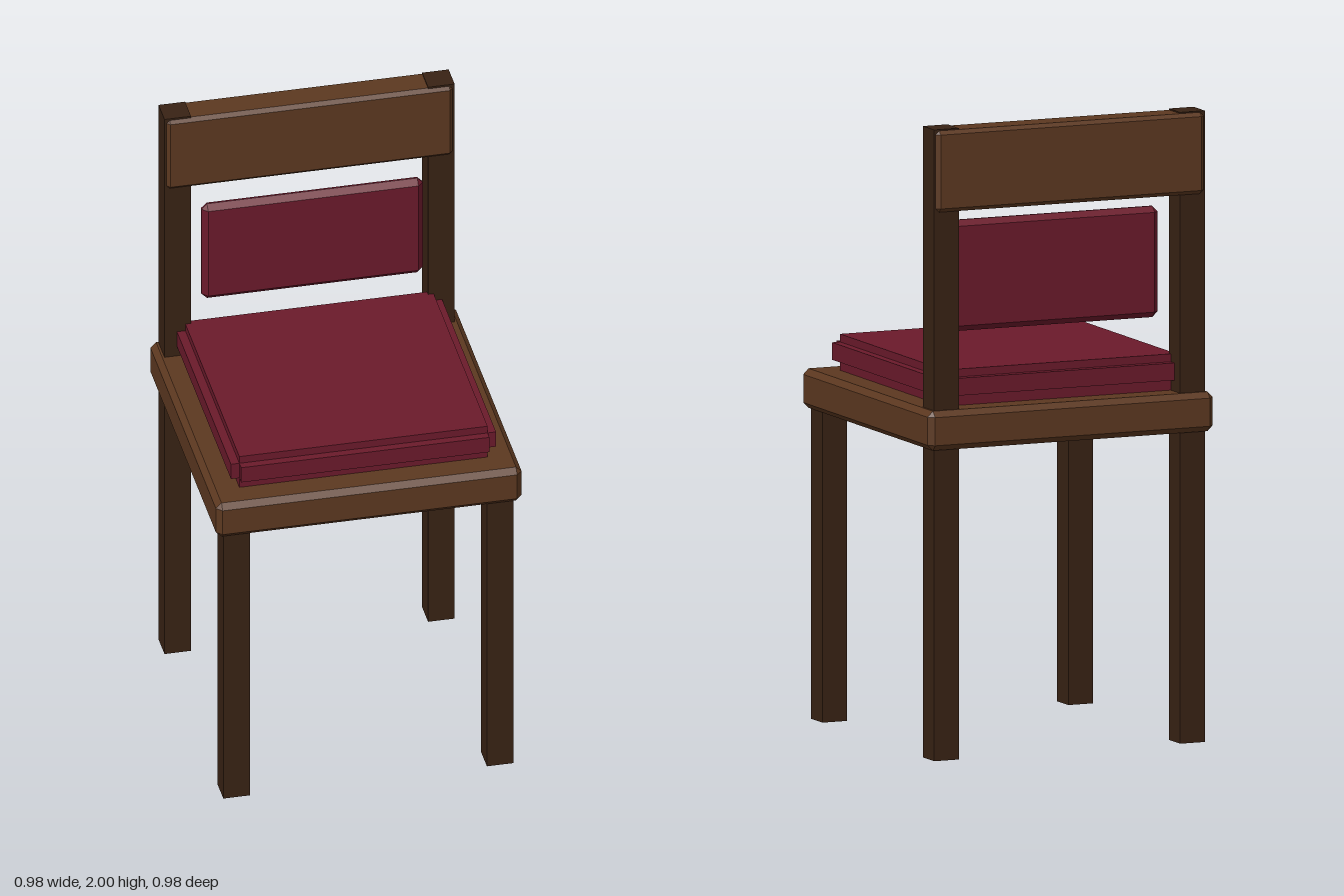
import * as THREE from 'three';
import { ConvexGeometry } from 'three/addons/geometries/ConvexGeometry.js';

const paint = (color) => new THREE.MeshStandardMaterial({ color, flatShading: true });
const wood = paint(0x5c3820);
const darkWood = paint(0x382214);
const fabric = paint(0x6b1a2b);

// Box with every edge cut at 45 degrees by c
function chamferBox(w, h, d, c) {
  const points = [];
  for (const sx of [-1, 1]) for (const sy of [-1, 1]) for (const sz of [-1, 1]) {
    const x = w / 2, y = h / 2, z = d / 2;
    points.push(
      new THREE.Vector3(sx * x, sy * (y - c), sz * (z - c)),
      new THREE.Vector3(sx * (x - c), sy * y, sz * (z - c)),
      new THREE.Vector3(sx * (x - c), sy * (y - c), sz * z),
    );
  }
  return new ConvexGeometry(points);
}

// Adds a box between two corners, chamfered when c is given
function addBox(parent, name, material, [x0, y0, z0], [x1, y1, z1], c = 0) {
  const size = [x1 - x0, y1 - y0, z1 - z0];
  const geometry = c ? chamferBox(...size, c) : new THREE.BoxGeometry(...size);
  const mesh = new THREE.Mesh(geometry, material);
  mesh.name = name;
  mesh.position.set((x0 + x1) / 2, (y0 + y1) / 2, (z0 + z1) / 2);
  parent.add(mesh);
}

export function createModel() {
  const chair = new THREE.Group();
  chair.name = 'chair';

  // Front legs, and back legs that run up as the backrest posts
  for (const [side, x] of [['Left', 0.4225], ['Right', -0.4225]]) {
    const r = 0.0425;
    addBox(chair, `frontLeg${side}`, darkWood, [x - r, 0, 0.38], [x + r, 1.0, 0.465]);
    addBox(chair, `backPost${side}`, darkWood, [x - r, 0, -0.465], [x + r, 2, -0.38]);
  }

  // Seat board and top rail
  addBox(chair, 'seat', wood, [-0.49, 0.985, -0.488], [0.49, 1.11, 0.488], 0.018);
  addBox(chair, 'topRail', wood, [-0.46, 1.738, -0.477], [0.46, 1.996, -0.37], 0.012);

  // Seat cushion with a raised band on all four sides
  const cushion = new THREE.Group();
  cushion.name = 'seatCushion';
  addBox(cushion, 'cushionCore', fabric, [-0.398, 1.105, -0.395], [0.398, 1.225, 0.395]);
  for (const [side, s] of [['Left', 1], ['Right', -1]]) {
    addBox(cushion, `cushionBand${side}`, fabric,
      [s * 0.41 - 0.015, 1.145, -0.395], [s * 0.41 + 0.015, 1.2, 0.395]);
  }
  for (const [side, s] of [['Front', 1], ['Back', -1]]) {
    addBox(cushion, `cushionBand${side}`, fabric,
      [-0.398, 1.145, s * 0.406 - 0.015], [0.398, 1.2, s * 0.406 + 0.015]);
  }
  chair.add(cushion);

  // Padded back panel
  addBox(chair, 'backPad', fabric, [-0.355, 1.338, -0.368], [0.355, 1.69, -0.325], 0.018);

  return chair;
}
